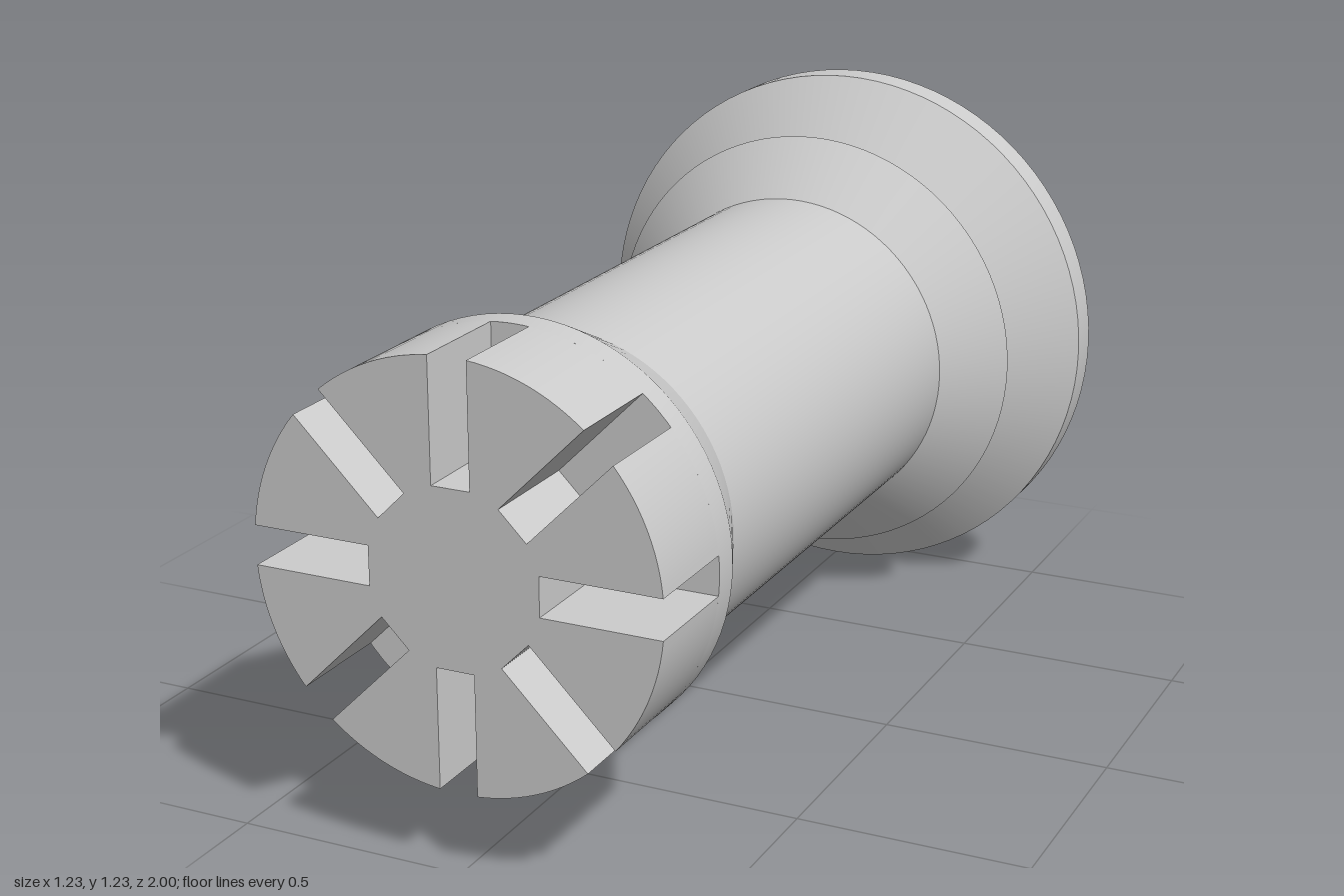
import * as THREE from 'three';
import { toCreasedNormals } from 'three/addons/utils/BufferGeometryUtils.js';

const AXIS_Y = 0.618;
const HEAD_R = 0.443;
const SLOT_Z = 0.76;   // floor of the slots
const SLOT_IN = 0.185; // inner end of the slots
const SLOT_W = 0.083;
const CREASE = 0.3;

// Disc outline with eight radial slots
function slottedOutline() {
  const points = [];
  const half = SLOT_W / 2;
  const gap = Math.asin(half / HEAD_R);
  const steps = 12;
  for (let i = 0; i < 8; i++) {
    const a = (i * Math.PI) / 4;
    const c = Math.cos(a), s = Math.sin(a);
    for (const side of [-half, half]) {
      points.push(new THREE.Vector2(c * SLOT_IN - s * side, s * SLOT_IN + c * side));
    }
    // rim from this slot to the next
    for (let j = 0; j <= steps; j++) {
      const t = a + gap + (Math.PI / 4 - 2 * gap) * (j / steps);
      points.push(new THREE.Vector2(Math.cos(t) * HEAD_R, Math.sin(t) * HEAD_R));
    }
  }
  return new THREE.Shape(points);
}

export function createModel() {
  const model = new THREE.Group();
  model.name = 'rookTower';
  const material = new THREE.MeshStandardMaterial({ color: 0xcccccc });

  const add = (name, geometry) => {
    const mesh = new THREE.Mesh(toCreasedNormals(geometry, CREASE), material);
    mesh.name = name;
    mesh.position.y = AXIS_Y;
    model.add(mesh);
  };

  // Turned parts: [radius, z] profiles from back to front
  const turned = (name, profile) => {
    const points = profile.map(([r, z]) => new THREE.Vector2(r, z));
    add(name, new THREE.LatheGeometry(points, 96).rotateX(Math.PI / 2));
  };

  turned('base', [[0, -1], [0.616, -1], [0.616, -0.92], [0.46, -0.8]]);
  turned('collar', [[0.46, -0.8], [0.506, -0.72], [0.381, -0.6]]);
  turned('shaft', [[0.381, -0.6], [0.381, 0.56]]);
  turned('headFlare', [[0.381, 0.56], [HEAD_R, 0.7], [HEAD_R, SLOT_Z], [0, SLOT_Z]]);

  // Slotted battlements at the front end
  const crown = new THREE.ExtrudeGeometry(slottedOutline(), { depth: 1 - SLOT_Z, bevelEnabled: false });
  add('battlements', crown.translate(0, 0, SLOT_Z));

  return model;
}
